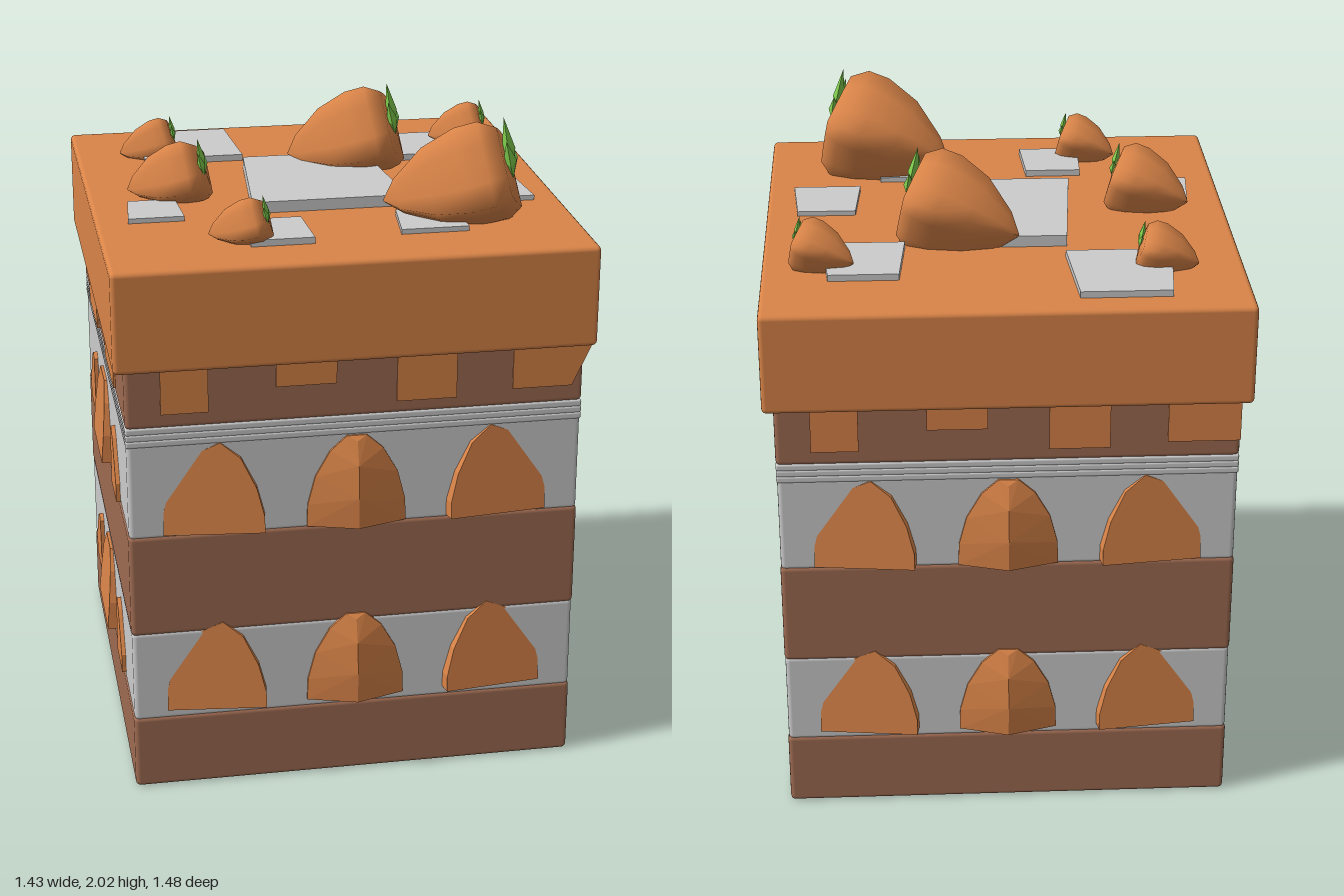
import * as THREE from 'three';
import { RoundedBoxGeometry } from 'three/addons/geometries/RoundedBoxGeometry.js';
import { ConvexGeometry } from 'three/addons/geometries/ConvexGeometry.js';

const mat = (color) => new THREE.MeshStandardMaterial({ color });
const sponge = mat(0x9e6b52), cream = mat(0xcccccc), icing = mat(0xd98448);
const fruit = mat(0xd98448), leafGreen = mat(0x7fcc4c);
const WALL = 0.688;

function add(parent, name, geometry, material) {
  const mesh = new THREE.Mesh(geometry, material);
  mesh.name = name;
  parent.add(mesh);
  return mesh;
}

function slab(points, depth) {
  const shape = new THREE.Shape(points.map(([x, y]) => new THREE.Vector2(x, y)));
  return new THREE.ExtrudeGeometry(shape, { depth, bevelEnabled: false });
}

function layer(parent, name, y0, y1, halfX, halfZ, material) {
  const h = y1 - y0;
  const geo = new RoundedBoxGeometry(halfX * 2, h, halfZ * 2, 2, Math.min(0.015, h * 0.3));
  add(parent, name, geo, material).position.y = (y0 + y1) / 2;
}

// Icing drip hanging down the wall that faces local +z
function drip(parent, x0, x1, bottom, slant = 0) {
  const pts = [[x0, bottom], [x1, bottom], [x1 + slant, 1.39], [x0, 1.39]];
  add(parent, 'icingDrip', slab(pts, 0.03), icing).position.z = WALL - 0.026;
}

// Fruit slices pressed into the cream
const arch = [[-0.15, 0], [-0.148, 0.07], [-0.125, 0.16], [-0.08, 0.24], [0.025, 0.285],
  [0.085, 0.235], [0.13, 0.14], [0.152, 0.05], [0.152, 0]];
const flatTopArch = [[-0.15, 0], [-0.145, 0.09], [-0.12, 0.18], [-0.06, 0.25],
  [0.07, 0.25], [0.115, 0.19], [0.145, 0.09], [0.15, 0]];
const cutSlice = [[-0.09, 0], [-0.09, 0.06], [0, 0.18], [0.045, 0.205], [0.075, 0.19], [0.085, 0]];

function frontFruit(parent, y) {
  for (const s of [-1, 1]) {
    const pts = arch.map(([x, v]) => [x * -s, v]);
    const m = add(parent, 'fruitSlice', slab(pts, 0.06), fruit);
    m.position.set(s * 0.425, y, WALL - 0.034);
    m.rotation.set(-0.09, s * 0.13, 0);
  }
  // Keeled half fruit in the middle
  const pts = [];
  for (const [x, v] of [[0.15, 0], [0.148, 0.07], [0.125, 0.16], [0.08, 0.24], [0.03, 0.285]])
    for (const s of [-1, 1])
      pts.push(new THREE.Vector3(s * x, v, 0.64), new THREE.Vector3(s * x, v, 0.693));
  for (const [v, z] of [[0, 0.738], [0.1, 0.742], [0.2, 0.73], [0.27, 0.705]])
    pts.push(new THREE.Vector3(0, v, z));
  add(parent, 'halfFruit', new ConvexGeometry(pts), fruit).position.y = y;
}

function sideFruit(parent, y) {
  const mid = add(parent, 'fruitSlice', slab(flatTopArch, 0.06), fruit);
  mid.position.set(-0.015, y, WALL - 0.033);
  mid.rotation.x = -0.09;
  for (const s of [-1, 1]) {
    const pts = cutSlice.map(([x, v]) => [x * -s * (s > 0 ? 0.87 : 1), v]);
    add(parent, 'cutFruitSlice', slab(pts, 0.05), fruit)
      .position.set(s > 0 ? 0.345 : -0.37, y, WALL - 0.042);
  }
}

// Berry lying on its side: rounded-square sections along local x, tip at -x
function berryGeometry() {
  const stations = [[-0.27, 0.02], [-0.22, 0.36], [-0.11, 0.8], [0, 1], [0.07, 1], [0.12, 0.8], [0.13, 0.02]];
  const n = 16, pos = [], idx = [], roll = -0.48;
  stations.forEach(([x, k], i) => {
    for (let j = 0; j < n; j++) {
      const a = (j / n) * Math.PI * 2;
      const square = 1 / Math.max(Math.abs(Math.cos(a)), Math.abs(Math.sin(a)));
      const r = 0.137 * k * Math.min(square, 1.34);
      pos.push(x, r * Math.cos(a + roll), r * Math.sin(a + roll));
      if (i === stations.length - 1) continue;
      const p = i * n + j, q = i * n + (j + 1) % n;
      idx.push(p, q, p + n, q, q + n, p + n);
    }
  });
  const geo = new THREE.BufferGeometry();
  geo.setAttribute('position', new THREE.Float32BufferAttribute(pos, 3));
  geo.setIndex(idx);
  geo.computeVertexNormals();
  return geo;
}

function berry(parent, geo, x, y, z, s, yaw) {
  const g = new THREE.Group();
  g.name = 'berry';
  add(g, 'berryBody', geo, fruit);
  // Three pointed leaves fanning up from the blunt end
  for (const [angle, len] of [[-0.5, 0.13], [0, 0.19], [0.45, 0.15]]) {
    const blade = new THREE.OctahedronGeometry(1);
    blade.scale(0.02, len / 2, 0.03);
    blade.translate(0, len / 2, 0);
    const m = add(g, 'leaf', blade, leafGreen);
    m.position.set(0.125, -0.03, 0.03);
    m.rotation.set(angle, 0, -0.12);
  }
  g.position.set(x, y, z);
  g.rotation.set(0, yaw, 0.3, 'YZX');
  g.scale.setScalar(s);
  parent.add(g);
}

export function createModel() {
  const cake = new THREE.Group();
  cake.name = 'layerCake';

  // Stacked layers
  layer(cake, 'bottomSponge', 0, 0.24, 0.685, WALL, sponge);
  layer(cake, 'lowerCream', 0.23, 0.53, 0.683, 0.686, cream);
  layer(cake, 'middleSponge', 0.52, 0.85, 0.685, WALL, sponge);
  layer(cake, 'upperCream', 0.84, 1.15, 0.683, 0.686, cream);
  for (let i = 0; i < 3; i++)
    layer(cake, 'creamRidge', 1.137 + i * 0.02, 1.159 + i * 0.02, 0.685, WALL, cream);
  layer(cake, 'topSponge', 1.195, 1.4, 0.685, WALL, sponge);
  layer(cake, 'icing', 1.38, 1.69, 0.717, 0.72, icing);

  // Walls: each pair is repeated on the opposite side
  for (let i = 0; i < 2; i++) {
    const front = new THREE.Group(), side = new THREE.Group();
    front.name = i ? 'backWall' : 'frontWall';
    side.name = i ? 'rightWall' : 'leftWall';
    front.rotation.y = i * Math.PI;
    side.rotation.y = Math.PI / 2 + i * Math.PI;
    drip(front, -0.58, -0.44, 1.24);
    drip(front, -0.24, -0.06, 1.305);
    drip(front, 0.12, 0.3, 1.235);
    drip(front, 0.47, i ? 0.685 : 0.65, 1.25, i ? 0 : 0.065);
    drip(side, -0.44, -0.16, 1.2);
    drip(side, 0.13, 0.41, 1.22);
    for (const y of [0.26, 0.85]) {
      frontFruit(front, y);
      sideFruit(side, y);
    }
    cake.add(front, side);
  }

  // Cream plates on top: back x range, front x range, back z, front z, top y
  const plates = [
    [-0.48, -0.21, -0.51, -0.19, -0.63, -0.32, 1.71],
    [-0.2, 0.19, -0.24, 0.24, -0.24, 0.24, 1.725],
    [0.31, 0.52, 0.29, 0.54, -0.475, -0.23, 1.71],
    [0.44, 0.62, 0.425, 0.635, 0.04, 0.25, 1.705],
    [-0.605, -0.46, -0.62, -0.45, 0.1, 0.275, 1.705],
    [-0.285, -0.11, -0.29, -0.1, 0.35, 0.55, 1.71],
    [0.185, 0.36, 0.165, 0.37, 0.32, 0.51, 1.705],
  ];
  for (const [b0, b1, f0, f1, zb, zf, top] of plates) {
    const geo = slab([[f0, -zf], [f1, -zf], [b1, -zb], [b0, -zb]], top - 1.68);
    geo.rotateX(-Math.PI / 2);
    add(cake, 'creamPlate', geo, cream).position.y = 1.68;
  }

  // Berries on top: x, y, z, scale, yaw
  const geo = berryGeometry();
  const berries = [
    [0.39, 1.825, 0.42, 1, -0.27],
    [0.17, 1.8, -0.18, 0.9, -0.27],
    [-0.44, 1.77, 0.07, 0.63, -0.27],
    [-0.46, 1.74, -0.41, 0.46, -0.1],
    [-0.29, 1.75, 0.51, 0.46, -0.27],
    [0.56, 1.755, -0.375, 0.47, -0.27],
  ];
  for (const b of berries) berry(cake, geo, ...b);
  return cake;
}
